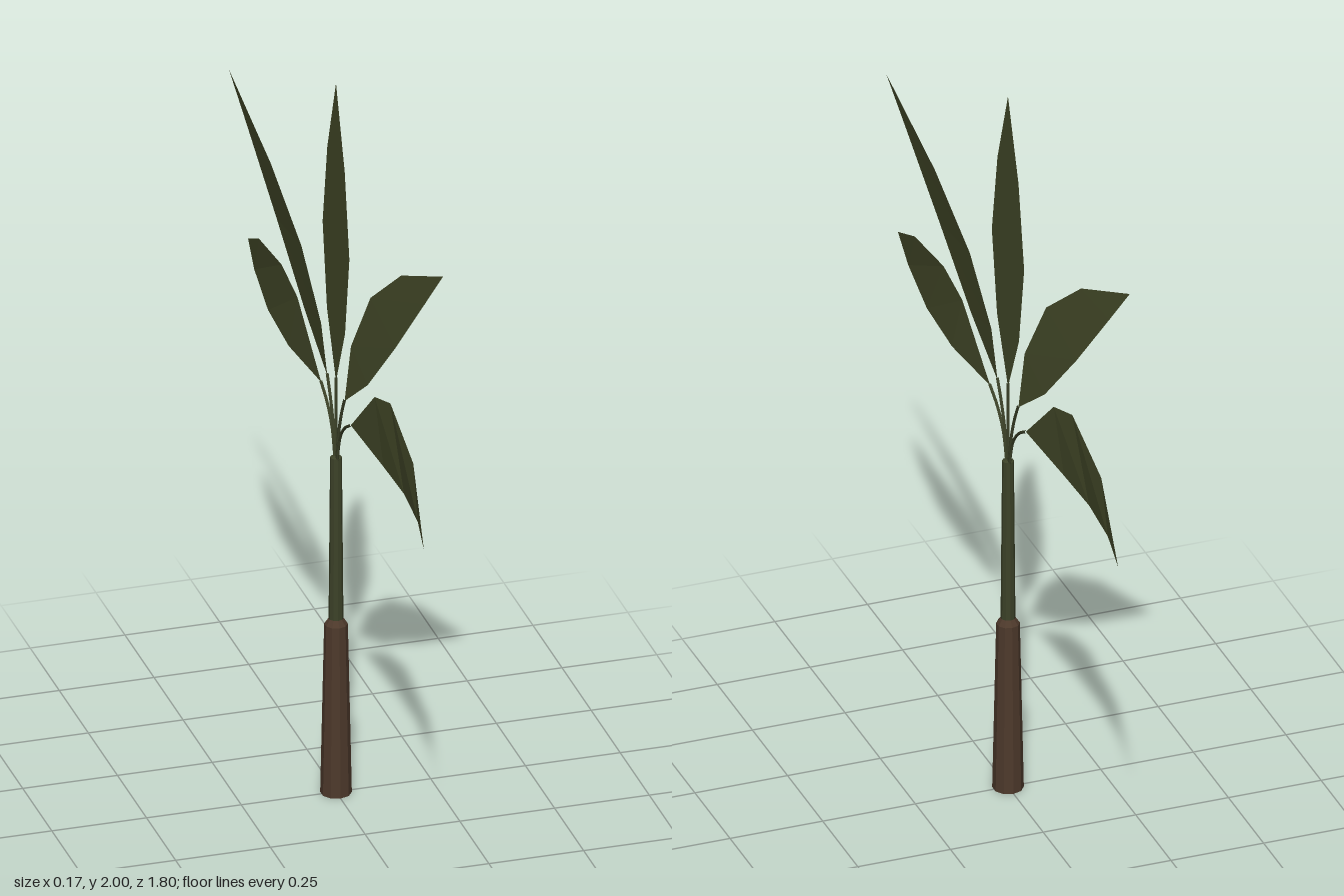
import * as THREE from 'three';

const bark = new THREE.MeshStandardMaterial({ color: 0x4d392b, flatShading: true });
const stemGreen = new THREE.MeshStandardMaterial({ color: 0x3c4228, flatShading: true });
const leafGreen = new THREE.MeshStandardMaterial({ color: 0x474d2b, flatShading: true, side: THREE.DoubleSide });

// Piecewise-linear lookup through [input, output] pairs
function lerpTable(table, v) {
  for (let i = 1; i < table.length; i++) {
    const [a, fa] = table[i - 1], [b, fb] = table[i];
    if (v <= b) return fa + (fb - fa) * Math.max(0, (v - a) / (b - a));
  }
  return table[table.length - 1][1];
}

// Thin blade: rows of [z, y] on the upper edge and [z, y] on the lower edge, bent in x
function blade(name, rows, bend) {
  const positions = [], index = [];
  for (const [zu, yu, zl, yl] of rows) {
    positions.push(bend(zu, yu), yu, zu, bend(zl, yl), yl, zl);
  }
  for (let i = 0; i < rows.length - 1; i++) {
    const a = 2 * i;
    index.push(a, a + 1, a + 3, a, a + 3, a + 2);
  }
  const geometry = new THREE.BufferGeometry();
  geometry.setAttribute('position', new THREE.Float32BufferAttribute(positions, 3));
  geometry.setIndex(index);
  geometry.computeVertexNormals();
  const mesh = new THREE.Mesh(geometry, leafGreen);
  mesh.name = name;
  return mesh;
}

// Slender stalk through [z, y] points
function stalk(name, points) {
  const curve = new THREE.CatmullRomCurve3(points.map(([z, y]) => new THREE.Vector3(0, y, z)));
  const mesh = new THREE.Mesh(new THREE.TubeGeometry(curve, 8, 0.004, 5), stemGreen);
  mesh.name = name;
  return mesh;
}

function turned(name, profile, material) {
  const points = profile.map(([r, y]) => new THREE.Vector2(r, y));
  const mesh = new THREE.Mesh(new THREE.LatheGeometry(points, 10), material);
  mesh.name = name;
  return mesh;
}

const middleRows = [
  [0.074, 1.138, 0.074, 1.138],
  [0.074, 1.29, 0.228, 1.254],
  [0.165, 1.467, 0.393, 1.435],
  [0.35, 1.615, 0.546, 1.628],
  [0.637, 1.746, 0.637, 1.746],
];
const lowerRows = [
  [0.127, 1.095, 0.127, 1.095],
  [0.297, 1.255, 0.36, 1.088],
  [0.414, 1.292, 0.546, 1.1],
  [0.663, 1.244, 0.74, 1.118],
  [0.902, 1.122, 0.902, 1.122],
];
const topRows = [[0, 1.158], [0.078, 1.33], [0.115, 1.556], [0.075, 1.785], [0, 2]]
  .map(([w, y]) => [w, y, -w, y]);

const middleBend = [[1.138, 0], [1.32, 0.02], [1.5, 0.045], [1.746, 0.087]];
const lowerBend = [[0.127, 0], [0.4, 0.017], [0.6, 0.01], [0.75, -0.013], [0.902, -0.045]];

export function createModel() {
  const plant = new THREE.Group();
  plant.name = 'fanPalm';

  // Trunk and green stem
  plant.add(turned('trunk', [[0, 0], [0.04, 0], [0.03, 0.475], [0.018, 0.492], [0, 0.492]], bark));
  plant.add(turned('stem', [[0, 0.47], [0.019, 0.47], [0.015, 0.945], [0, 0.95]], stemGreen));

  // Upright central leaf
  plant.add(stalk('topStalk', [[0, 0.93], [0, 1.05], [0, 1.17]]));
  plant.add(blade('topLeaf', topRows, () => 0));

  // Side leaves, the same pair turned half way round for the other side
  for (const side of [0, 1]) {
    const half = new THREE.Group();
    half.name = side ? 'backLeaves' : 'frontLeaves';
    half.rotation.y = side * Math.PI;
    half.add(stalk('middleStalk', [[0.004, 0.93], [0.022, 1.02], [0.045, 1.085], [0.076, 1.145]]));
    half.add(blade('middleLeaf', middleRows, (z, y) => lerpTable(middleBend, y)));
    half.add(stalk('lowerStalk', [[0.008, 0.93], [0.032, 1.01], [0.072, 1.06], [0.13, 1.097]]));
    half.add(blade('lowerLeaf', lowerRows, (z) => lerpTable(lowerBend, z)));
    plant.add(half);
  }
  return plant;
}
